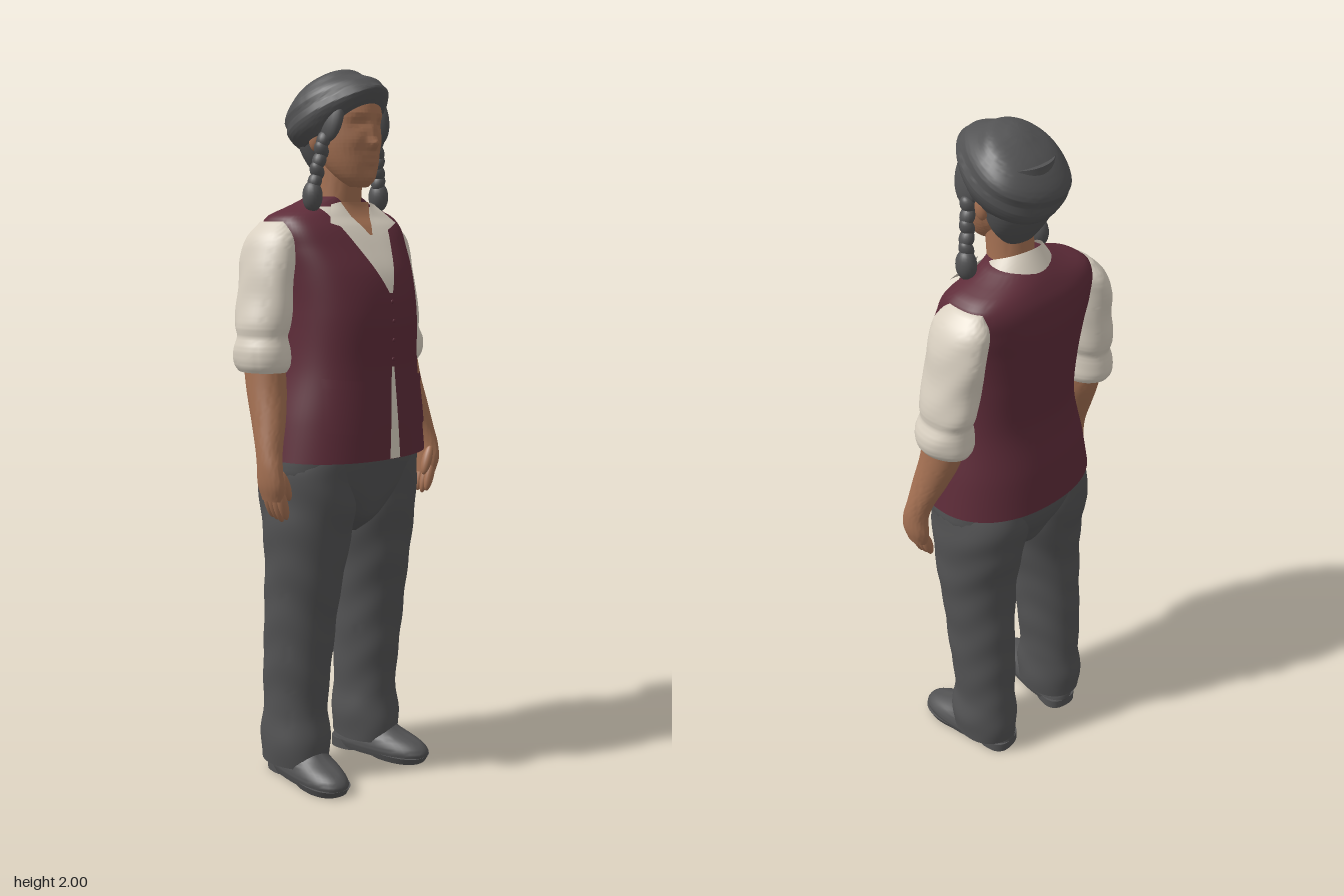
import * as THREE from 'three';
import { toCreasedNormals } from 'three/addons/utils/BufferGeometryUtils.js';

const mat = (name, color, side = THREE.FrontSide) => {
  const m = new THREE.MeshStandardMaterial({ color, side });
  m.name = name;
  return m;
};
const charcoal = mat('charcoal cloth', 0x535354);
const wine = mat('wine vest', 0x5e2c39);
const cream = mat('cream shirt', 0xd9d0c1, THREE.DoubleSide);
const skin = mat('skin', 0xa57153);

// Smooth interpolation of sections [y, centreX, centreZ, radiusX, radiusZ, squareness]
function profile(rows) {
  const f = new THREE.CubicInterpolant(rows.map(r => r[0]), rows.flatMap(r => [r[1], r[2], r[3], r[4], r[5] ?? 2]), 5);
  return y => Array.from(f.evaluate(y));
}

// Closed body of horizontal superellipse rings, optionally folded or sculpted
function loft(name, rows, material, { s = 1, fold = 0, rings = 40, seg = 40, sculpt, capped = true } = {}) {
  const f = profile(rows), y0 = rows[0][0], y1 = rows[rows.length - 1][0];
  const pos = [], idx = [];
  for (let i = 0; i <= rings; i++) {
    const y = y0 + (y1 - y0) * i / rings;
    const [cx, cz, rx, rz, n] = f(y);
    for (let j = 0; j < seg; j++) {
      const a = j / seg * Math.PI * 2, c = Math.cos(a), d = Math.sin(a);
      const k = 1 + fold * (Math.sin(y * 46 + 2.2 * Math.sin(a * 2 + s)) + 0.7 * Math.sin(y * 23 - 3 * a));
      const p = [s * cx + rx * k * Math.sign(c) * Math.abs(c) ** (2 / n), y,
        cz + rz * k * Math.sign(d) * Math.abs(d) ** (2 / n)];
      if (sculpt) sculpt(p);
      pos.push(...p);
    }
  }
  for (let i = 0; i < rings; i++) for (let j = 0; j < seg; j++) {
    const a = i * seg + j, b = i * seg + (j + 1) % seg;
    idx.push(a, a + seg, b, b, a + seg, b + seg);
  }
  if (capped) [[0, y0], [rings, y1]].forEach(([r, y], e) => {
    const [cx, cz] = f(y), m = pos.length / 3;
    pos.push(s * cx, y, cz);
    for (let j = 0; j < seg; j++) {
      const a = r * seg + j, b = r * seg + (j + 1) % seg;
      idx.push(...(e ? [m, b, a] : [m, a, b]));
    }
  });
  const g = new THREE.BufferGeometry();
  g.setAttribute('position', new THREE.Float32BufferAttribute(pos, 3));
  g.setIndex(idx);
  const mesh = new THREE.Mesh(toCreasedNormals(g, 0.9), material);
  mesh.name = name;
  return mesh;
}

function ball(name, material, x, y, z, rx, ry, rz) {
  const m = new THREE.Mesh(new THREE.SphereGeometry(1, 20, 14), material);
  m.position.set(x, y, z);
  m.scale.set(rx, ry, rz);
  m.name = name;
  return m;
}

const torsoRows = [
  [0.945, 0, -0.002, 0.256, 0.196, 2.2], [1.05, 0, 0.003, 0.238, 0.189, 2.2], [1.2, 0, 0.013, 0.207, 0.173, 2.3],
  [1.35, 0, 0.007, 0.2, 0.178, 2.4], [1.45, 0, -0.011, 0.206, 0.169, 2.5], [1.52, 0, -0.032, 0.214, 0.149, 2.7],
  [1.58, 0, -0.047, 0.216, 0.122, 2.9], [1.607, 0, -0.052, 0.202, 0.103, 2.7], [1.635, 0, -0.05, 0.135, 0.086, 2.2],
  [1.66, 0, -0.04, 0.082, 0.072, 2]];
const torsoAt = profile(torsoRows);

// Thin panel laid over the chest; corners run top left, top right, bottom right, bottom left
function panel(name, material, corners, lift, s = 1) {
  const [tl, tr, br, bl] = s > 0 ? corners : [1, 0, 3, 2].map(i => [-corners[i][0], corners[i][1]]);
  const g = new THREE.PlaneGeometry(1, 1, 16, 24), p = g.attributes.position, uv = g.attributes.uv;
  const mix = THREE.MathUtils.lerp;
  for (let i = 0; i < p.count; i++) {
    const u = uv.getX(i), v = uv.getY(i);
    const [x, y] = [0, 1].map(k => mix(mix(bl[k], br[k], u), mix(tl[k], tr[k], u), v));
    const [, cz, rx, rz, n] = torsoAt(y);
    p.setXYZ(i, x, y, cz + rz * (1 - Math.min(1, Math.abs(x / rx)) ** n) ** (1 / n) + lift);
  }
  g.computeVertexNormals();
  const m = new THREE.Mesh(g, material);
  m.name = name;
  return m;
}

// Face relief: [x, y, depth, width, height]
const relief = [
  [0, 1.799, 0.02, 0.018, 0.017], [0, 1.835, 0.011, 0.014, 0.03], [0.036, 1.852, -0.008, 0.019, 0.014],
  [-0.036, 1.852, -0.008, 0.019, 0.014], [0.034, 1.878, 0.004, 0.025, 0.012], [-0.034, 1.878, 0.004, 0.025, 0.012],
  [0.045, 1.808, 0.005, 0.022, 0.022], [-0.045, 1.808, 0.005, 0.022, 0.022],
  [0, 1.766, 0.006, 0.026, 0.008], [0, 1.75, 0.005, 0.024, 0.008], [0, 1.71, 0.004, 0.022, 0.014]];
function sculptFace(p) {
  if (p[2] < 0.03) return;
  const [x, y] = p;
  for (const [bx, by, d, w, h] of relief) p[2] += d * Math.exp(-(((x - bx) / w) ** 2) - ((y - by) / h) ** 2);
}

// Cap narrows towards the front, where its lower edge also lifts off the brow
function sculptCap(p) {
  p[0] *= 1 - 0.9 * p[2];
  if (p[1] < 0) p[1] *= 1 - 4 * Math.max(0, p[2]);
}

export function createModel() {
  const model = new THREE.Group();
  model.name = 'standingWoman';
  const add = (...parts) => model.add(...parts);

  // Vest and the shirt showing at its opening
  add(loft('vest', torsoRows, wine, { rings: 70, seg: 72 }));
  add(panel('shirtFront', cream, [[-0.116, 1.632], [0.116, 1.632], [0.008, 1.4], [-0.004, 1.4]], 0.007));
  add(panel('shirtTail', cream, [[-0.004, 1.2], [0.006, 1.2], [0.024, 0.947], [-0.016, 0.947]], 0.005));
  add(panel('openNeck', skin, [[-0.06, 1.645], [0.06, 1.645], [0.004, 1.555], [-0.004, 1.555]], 0.014));
  for (let i = 0; i < 4; i++) {
    const y = 1.22 + i * 0.052, [, cz, , rz] = torsoAt(y);
    add(ball('vestButton', wine, 0.008, y, cz + rz, 0.006, 0.006, 0.003));
  }

  // Shirt collar, high behind the neck and dropping at the throat
  add(loft('collarStand', [[1.605, 0, -0.034, 0.116, 0.094], [1.64, 0, -0.03, 0.096, 0.083], [1.67, 0, -0.026, 0.077, 0.074]],
    cream, { rings: 10, capped: false, sculpt: p => { p[1] -= (p[2] + 0.03) * (p[2] > -0.03 ? 0.8 : 0.4); } }));

  // Trouser seat, filling between the tops of the legs
  add(loft('trouserSeat', [
    [0.72, 0, -0.01, 0.02, 0.06], [0.76, 0, -0.005, 0.07, 0.108], [0.81, 0, -0.005, 0.15, 0.132],
    [0.87, 0, -0.01, 0.232, 0.152, 2.3], [0.95, 0, -0.006, 0.246, 0.166, 2.3], [0.99, 0, -0.002, 0.235, 0.165, 2.3]], charcoal));

  for (const s of [1, -1]) {
    const side = s > 0 ? 'left' : 'right';
    // Collar points and pockets
    add(panel(side + 'CollarPoint', cream, [[0.056, 1.645], [0.085, 1.638], [0.128, 1.588], [0.022, 1.552]], 0.02, s));
    add(panel(side + 'Pocket', wine, [[0.095, 1.15], [0.19, 1.16], [0.2, 1.03], [0.1, 1.02]], 0.006, s));
    add(panel(side + 'PocketWelt', wine, [[0.092, 1.165], [0.192, 1.175], [0.192, 1.15], [0.092, 1.14]], 0.009, s));

    // Trouser leg, running up under the vest
    add(loft(side + 'TrouserLeg', [
      [0.05, 0.145, -0.052, 0.086, 0.108], [0.12, 0.145, -0.053, 0.091, 0.113], [0.2, 0.143, -0.055, 0.083, 0.104],
      [0.35, 0.142, -0.045, 0.09, 0.108], [0.5, 0.14, -0.033, 0.097, 0.113], [0.62, 0.135, -0.02, 0.108, 0.12],
      [0.72, 0.129, -0.018, 0.12, 0.131], [0.8, 0.124, -0.018, 0.126, 0.146], [0.88, 0.122, -0.018, 0.127, 0.153],
      [0.94, 0.118, -0.01, 0.123, 0.15], [0.98, 0.11, -0.004, 0.112, 0.14]],
      charcoal, { s, fold: 0.012, rings: 90 }));

    // Shoe with heel, toes turned out
    const shoe = new THREE.Group();
    shoe.name = side + 'Shoe';
    shoe.add(loft('shoeUpper', [
      [0.008, 0, 0.008, 0.062, 0.158, 2.3], [0.03, 0, 0.008, 0.068, 0.165, 2.3], [0.055, 0, -0.002, 0.064, 0.15],
      [0.08, 0, -0.035, 0.057, 0.112], [0.13, 0, -0.06, 0.052, 0.08]], charcoal, { rings: 20 }));
    shoe.add(loft('shoeHeel', [[0, 0, -0.1, 0.055, 0.056, 2.6], [0.03, 0, -0.1, 0.055, 0.056, 2.6]], charcoal, { rings: 2 }));
    shoe.add(loft('shoeSole', [[0, 0, 0.07, 0.058, 0.09, 2.3], [0.02, 0, 0.07, 0.066, 0.102, 2.3]], charcoal, { rings: 2 }));
    shoe.position.x = s * 0.148;
    shoe.rotation.y = s * 0.16;
    add(shoe);

    // Sleeve with rolled cuff
    add(loft(side + 'Sleeve', [
      [1.19, 0.265, -0.045, 0.058, 0.075], [1.205, 0.266, -0.046, 0.067, 0.084], [1.25, 0.267, -0.047, 0.069, 0.085],
      [1.285, 0.262, -0.05, 0.061, 0.08], [1.31, 0.259, -0.052, 0.066, 0.087], [1.4, 0.244, -0.055, 0.061, 0.09],
      [1.5, 0.228, -0.062, 0.056, 0.093], [1.555, 0.213, -0.064, 0.047, 0.084], [1.592, 0.198, -0.064, 0.026, 0.055]],
      cream, { s, fold: 0.018, rings: 60 }));

    // Forearm, hand and fingers
    add(loft(side + 'Forearm', [
      [0.85, 0.306, 0.038, 0.022, 0.036], [0.89, 0.312, 0.038, 0.027, 0.045], [0.94, 0.313, 0.034, 0.029, 0.041],
      [0.98, 0.306, 0.024, 0.033, 0.04], [1.06, 0.286, 0, 0.042, 0.052], [1.14, 0.27, -0.025, 0.05, 0.06],
      [1.24, 0.262, -0.045, 0.05, 0.065]], skin, { s }));
    for (let i = 0; i < 4; i++) {
      const finger = ball(side + 'Finger', skin, s * 0.296, 0.842 - 0.004 * (i % 3), 0.012 + i * 0.018, 0.015, 0.048, 0.013);
      finger.rotation.z = -s * 0.3;
      add(finger);
    }
    const thumb = ball(side + 'Thumb', skin, s * 0.286, 0.89, 0.064, 0.014, 0.046, 0.016);
    thumb.rotation.z = -s * 0.35;
    add(thumb);

    // Ear, side hair and braid
    add(ball(side + 'Ear', skin, s * 0.096, 1.815, -0.014, 0.015, 0.034, 0.02));
    const lock = ball(side + 'SideHair', charcoal, s * 0.088, 1.872, 0.04, 0.021, 0.07, 0.045);
    lock.rotation.z = s * 0.2;
    add(lock);
    for (let i = 0; i < 5; i++) {
      const t = i / 4;
      const knot = ball(side + 'Braid', charcoal, s * (0.104 + 0.02 * t), 1.81 - 0.11 * t, 0.028 - 0.014 * t, 0.018, 0.026, 0.021);
      knot.rotation.z = (i % 2 ? 1 : -1) * 0.4;
      add(knot);
    }
    add(ball(side + 'BraidEnd', charcoal, s * 0.129, 1.66, 0.01, 0.026, 0.042, 0.03));
  }

  // Neck and head
  add(loft('neck', [[1.56, 0, -0.03, 0.075, 0.06], [1.64, 0, -0.02, 0.063, 0.062], [1.76, 0, -0.01, 0.06, 0.065]], skin, { rings: 12 }));
  add(loft('head', [
    [1.685, 0, 0.06, 0.024, 0.025], [1.7, 0, 0.052, 0.045, 0.046], [1.73, 0, 0.035, 0.066, 0.07],
    [1.78, 0, 0.018, 0.083, 0.09], [1.85, 0, 0.006, 0.09, 0.106], [1.9, 0, 0, 0.089, 0.112], [1.95, 0, 0, 0.07, 0.088]],
    skin, { rings: 90, seg: 120, sculpt: sculptFace }));
  add(loft('backHair', [
    [1.71, 0, -0.045, 0.045, 0.03], [1.75, 0, -0.047, 0.078, 0.058], [1.8, 0, -0.05, 0.098, 0.082],
    [1.86, 0, -0.04, 0.106, 0.1], [1.93, 0, -0.03, 0.1, 0.1]], charcoal));

  // Soft cap with folded band, tilted back
  const cap = new THREE.Group();
  cap.name = 'cap';
  cap.add(loft('capBody', [
    [-0.062, 0, 0, 0.11, 0.134], [-0.035, 0, 0, 0.126, 0.155], [-0.005, 0, 0, 0.131, 0.161],
    [0.012, 0, -0.002, 0.126, 0.154], [0.03, 0, -0.006, 0.127, 0.148], [0.06, 0, -0.008, 0.112, 0.114],
    [0.088, 0, 0.006, 0.078, 0.074], [0.104, 0, 0.015, 0.024, 0.024]], charcoal,
    { fold: 0.013, rings: 50, seg: 60, sculpt: sculptCap }));
  cap.position.set(-0.006, 1.887, -0.01);
  cap.rotation.set(-0.43, 0, 0.04);
  add(cap);

  return model;
}
